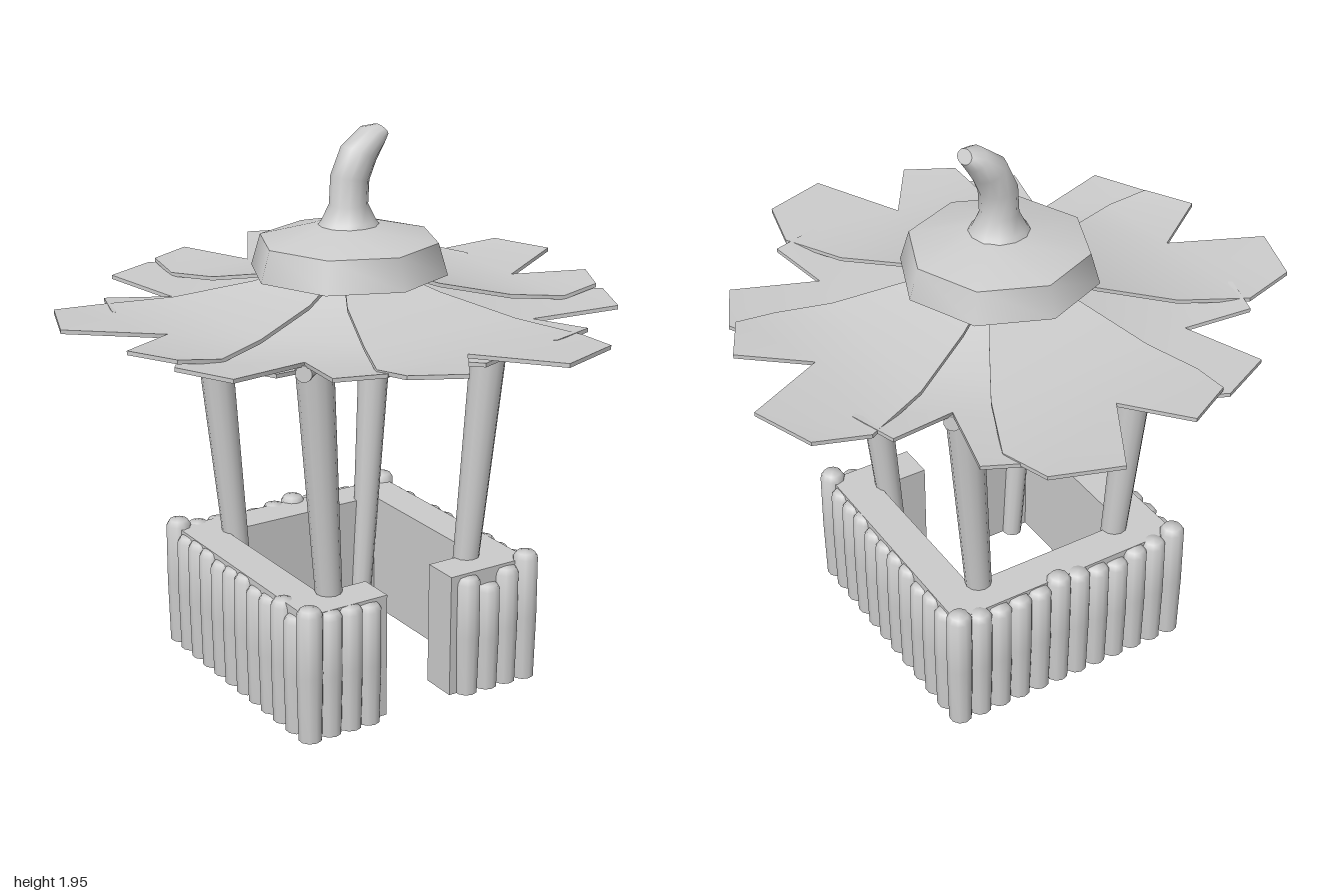
import * as THREE from 'three';
import { mergeGeometries, toCreasedNormals } from 'three/addons/utils/BufferGeometryUtils.js';

const material = new THREE.MeshStandardMaterial({ color: 0xcccccc });

function add(parent, name, geometry) {
  const mesh = new THREE.Mesh(geometry, material);
  mesh.name = name;
  parent.add(mesh);
  return mesh;
}

// Closed skin over equal-sized rings that run counter-clockwise about the loft direction
function loft(rings) {
  const n = rings[0].length, last = (rings.length - 1) * n, index = [];
  for (let i = 0; i < rings.length - 1; i++) {
    for (let j = 0; j < n; j++) {
      const a = i * n + j, b = i * n + (j + 1) % n;
      index.push(a, b, b + n, a, b + n, a + n);
    }
  }
  for (let j = 1; j < n - 1; j++) {
    index.push(0, j + 1, j, last, last + j, last + j + 1);
  }
  const g = new THREE.BufferGeometry();
  g.setAttribute('position', new THREE.Float32BufferAttribute(rings.flat(2), 3));
  g.setIndex(index);
  return g;
}

// Petal with a notched tip: two lobes meeting on the midline.
// Each row holds outer edge [r, s] and inner edge [r, s].
const LOBE_A = [[.15, -.13, .15, 0], [.26, -.2, .26, 0], [.5, -.34, .5, 0], [.73, -.44, .7, 0], [.92, -.4, 1, -.17]];
const LOBE_B = [[.15, .11, .15, 0], [.26, .17, .26, 0], [.5, .26, .5, 0], [.68, .33, .7, 0], [.83, .32, .92, .15]];
const RISE = [.11, .07, .015, 0, .02];

function petalGeometry(scale, y, flip) {
  const t = 0.014, sign = flip ? -1 : 1;
  const lobes = [LOBE_A, LOBE_B].map(lobe => loft(lobe.map(([r0, s0, r1, s1], i) => {
    const h = y + RISE[i];
    const ends = [[r0 * scale, s0 * scale * sign], [r1 * scale, s1 * scale * sign]];
    ends.sort((a, b) => a[1] - b[1]);
    const [a, b] = ends;
    return [[a[0], h, a[1]], [b[0], h, b[1]], [b[0], h - t, b[1]], [a[0], h - t, a[1]]];
  })));
  return toCreasedNormals(mergeGeometries(lobes), 0.6);
}

function petalRing(parent, name, layout, scale, y) {
  for (const [degrees, flip] of layout) {
    const petal = add(parent, name, petalGeometry(scale, y, flip));
    petal.rotation.y = -THREE.MathUtils.degToRad(degrees);
  }
}

function buildWalls(group) {
  // U-shaped wall with the doorway at the front
  const o = 0.455, i = 0.32;
  const plan = [[-.135, -o], [-.135, -i], [-i, -i], [-i, i], [i, i], [i, -i], [.13, -i], [.13, -o], [o, -o], [o, o], [-o, o], [-o, -o]];
  const shape = new THREE.Shape(plan.map(([x, y]) => new THREE.Vector2(x, y)));
  const wall = new THREE.ExtrudeGeometry(shape, { depth: 0.45, bevelEnabled: false });
  add(group, 'wall', wall.rotateX(-Math.PI / 2));

  // Upright logs with rounded tops
  let seed = 7;
  const random = () => (seed = (seed * 16807) % 2147483647) / 2147483647;
  const log = (x, z, h) => {
    const profile = [[0, 0], [.041, 0], [.046, h * .5], [.045, h - .022], [.033, h - .003], [0, h]];
    const g = new THREE.LatheGeometry(profile.map(p => new THREE.Vector2(...p)), 10);
    const mesh = add(group, 'wallLog', toCreasedNormals(g, 1));
    mesh.position.set(x, 0, z);
  };
  const height = () => 0.425 + 0.03 * random();
  for (const x of [-.445, .445]) {
    for (let k = 0; k < 12; k++) {
      const corner = k === 0 || k === 11;
      log(x, 0.46 - k * 0.92 / 11, corner ? 0.48 : height());
    }
  }
  [[-.365, .45], [-.285, .45], [-.21, .44], [.2, .44], [.285, .395], [.365, .44]].forEach(([x, h]) => log(x, 0.455, h));
  for (let k = 1; k < 11; k++) log(-0.445 + k * 0.89 / 11, -0.46, k === 6 ? 0.47 : height());
}

function buildPosts(group) {
  // Posts lean outward and widen upward, each with a short stub under the roof
  const bar = (name, a, b, r0, r1) => {
    const from = new THREE.Vector3(...a), to = new THREE.Vector3(...b);
    const dir = to.clone().sub(from);
    const mesh = add(group, name, new THREE.CylinderGeometry(r1, r0, dir.length(), 12));
    mesh.position.copy(from).add(to).multiplyScalar(0.5);
    mesh.quaternion.setFromUnitVectors(new THREE.Vector3(0, 1, 0), dir.normalize());
  };
  for (const sx of [-1, 1]) {
    for (const sz of [-1, 1]) {
      bar('post', [sx * .25, 0, sz * .31], [sx * .355, 1.315, sz * .35], .037, .065);
      bar('postStub', [sx * .36, 1.285, sz * .36], [sx * .46, 1.29, sz * .46], .03, .028);
    }
  }
}

function buildRoof(group) {
  const straight = [[0, false], [90, false], [-90, true], [180, true]];
  const diagonal = [[45, false], [-45, false], [135, true], [225, true]];
  petalRing(group, 'upperPetal', straight, 1, 1.343);
  petalRing(group, 'middlePetal', diagonal, 0.91, 1.326);
  petalRing(group, 'lowerPetal', straight, 0.65, 1.26);
  petalRing(group, 'lowerDiagonalPetal', diagonal, 0.6, 1.247);

  // Eight-sided cap
  const profile = [[0, 1.46], [.345, 1.46], [.312, 1.57], [.12, 1.62], [0, 1.63]];
  const cap = new THREE.LatheGeometry(profile.map(p => new THREE.Vector2(...p)), 8);
  add(group, 'cap', toCreasedNormals(cap, 0.9));

  // Curved stem: centre x, centre y, half width, half depth, tilt
  const rows = [
    [0, 1.6, .12, .12, 0], [0, 1.635, .095, .09, 0], [0, 1.69, .066, .068, 0], [.005, 1.78, .066, .068, .15],
    [.04, 1.86, .063, .068, .45], [.095, 1.915, .045, .062, .8], [.13, 1.931, .025, .04, .95],
  ];
  const rings = rows.map(([cx, cy, w, d, tilt]) => Array.from({ length: 12 }, (_, j) => {
    const a = j / 12 * Math.PI * 2, u = Math.sin(a) * w;
    return [cx + u * Math.cos(tilt), cy - u * Math.sin(tilt), Math.cos(a) * d];
  }));
  add(group, 'stem', toCreasedNormals(loft(rings), 1));
}

export function createModel() {
  const model = new THREE.Group();
  model.name = 'flowerRoofHut';
  for (const [name, build] of [['walls', buildWalls], ['posts', buildPosts], ['roof', buildRoof]]) {
    const group = new THREE.Group();
    group.name = name;
    build(group);
    model.add(group);
  }
  return model;
}
